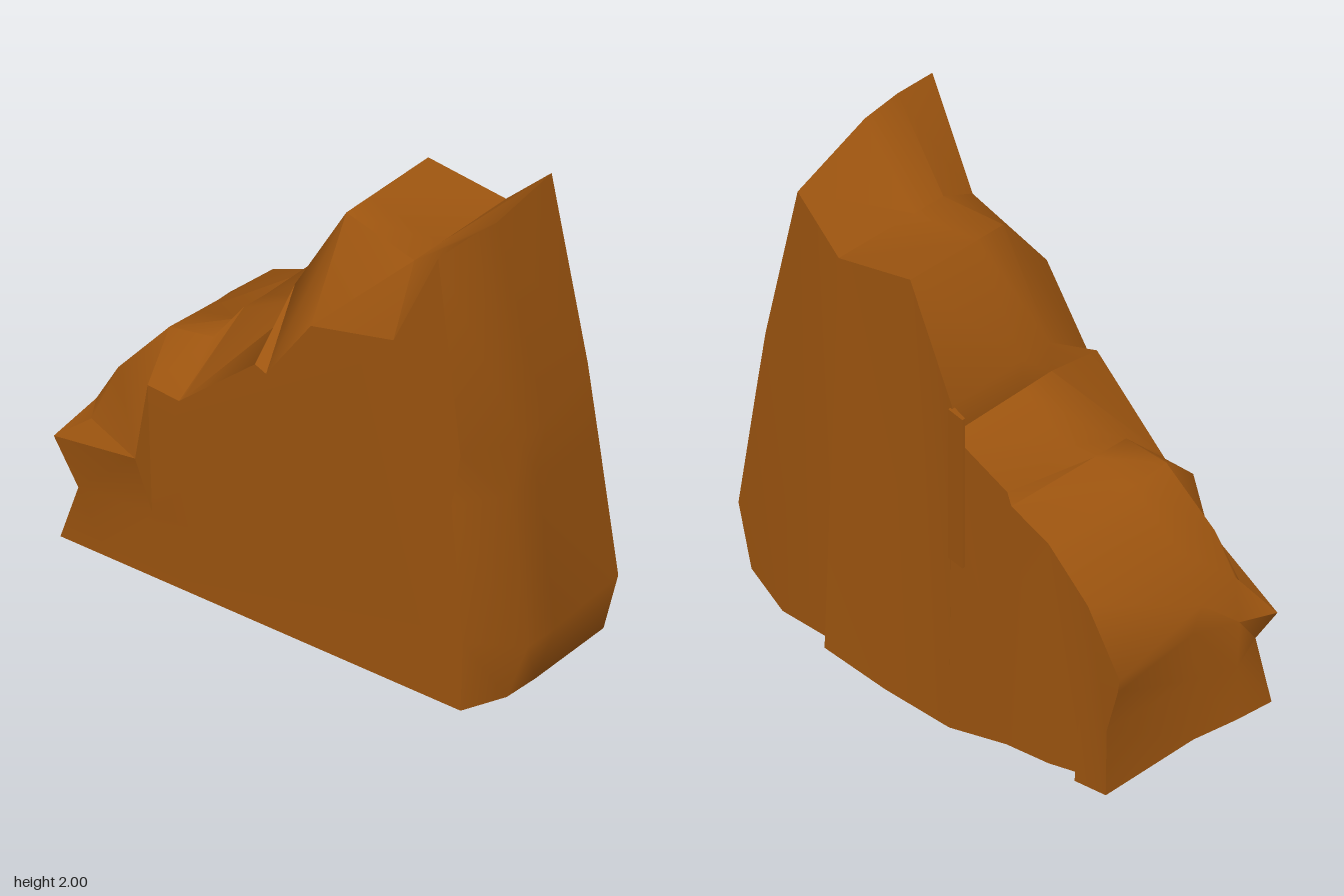
import * as THREE from 'three';
import { toCreasedNormals } from 'three/addons/utils/BufferGeometryUtils.js';

// Matching outline points, clockwise from the lower left: front, shoulder, back.
const F = 0.36;
const front = [
  [-0.96, 0.165, F], [-0.88, 0.4, F], [-0.99, 0.57, F], [-0.87, 0.66, 0.3], [-0.57, 0.68, 0.43],
  [-0.57, 0.95, F], [-0.43, 0.94, F], [-0.41, 0.957, F], [-0.09, 1.23, F], [-0.04, 1.21, F],
  [0.16, 1.49, F], [0.53, 1.58, F], [0.73, 2, F], [0.83, 1.22, F], [0.79, 1, F], [0.84, 0.45, F],
  [0.83, 0.165, F],
];
const shoulder = [
  [-0.95, 0.165, 0.2], [-0.955, 0.4, 0.2], [-0.965, 0.6, 0.2], [-0.88, 0.72, 0.26], [-0.79, 0.88, 0.25],
  [-0.6, 1.1, 0.2], [-0.42, 1.12, 0.18], [-0.38, 1.2, 0.06], [-0.13, 1.3, 0.1], [-0.12, 1.42, 0.1],
  [0.11, 1.81, 0.1], [0.43, 1.75, 0.12], [0.73, 2, 0.19], [0.93, 1.22, 0.15], [0.89, 0.98, 0.15],
  [0.985, 0.4, 0.18], [0.9, 0.165, 0.19],
];
const back = [
  [-0.89, 0.11, -0.38], [-0.9, 0.4, -0.385], [-0.96, 0.6, -0.39], [-0.97, 0.66, -0.39], [-0.79, 0.88, -0.37],
  [-0.6, 1.05, -0.375], [-0.42, 1.12, -0.38], [-0.4, 1.17, -0.38], [-0.13, 1.28, -0.385], [-0.13, 1.4, -0.385],
  [0.11, 1.81, -0.355], [0.43, 1.75, -0.39], [0.63, 1.935, -0.395], [0.8, 1.22, -0.385], [0.85, 0.95, -0.38],
  [0.94, 0.4, -0.38], [0.87, 0.15, -0.385],
];
// The underside, right to left, is level in front and sinks toward the back.
// Close pairs of points make the upright steps in the back face.
const under = [
  [0.7, 0.065, -0.4], [0.465, 0.055, -0.385], [0.455, 0.055, -0.435], [0.18, 0.01, -0.41],
  [-0.13, 0.005, -0.4], [-0.4, 0.07, -0.385], [-0.6, 0.09, -0.375],
  [-0.73, 0.1, -0.345], [-0.745, 0.1, -0.39],
];
for (const p of under) {
  front.push([p[0], 0.165, F]);
  shoulder.push([p[0], 0.165, 0.19]);
  back.push(p);
}
// Middle ring, pinched in on the left side
const mix = (a, b, t) => a + (b - a) * t;
const middle = shoulder.map(([x, y, z], i) => [
  i < 4 ? -0.9 : mix(x, back[i][0], 0.05),
  mix(y, back[i][1], i > 16 || i === 0 ? 0.5 : 0.3),
  mix(z, back[i][2], 0.28),
]);

// Collects polygons as triangle fans and returns a geometry
function fromPolygons(polygons, creaseAngle) {
  const pos = [];
  for (const p of polygons) {
    for (let k = 1; k < p.length - 1; k++) pos.push(...p[0], ...p[k], ...p[k + 1]);
  }
  const g = new THREE.BufferGeometry();
  g.setAttribute('position', new THREE.Float32BufferAttribute(pos, 3));
  return toCreasedNormals(g, creaseAngle);
}

// Outer skin lofted from front to back
function skinGeometry() {
  const rings = [front, shoulder, middle, back];
  const quads = [];
  for (let r = 0; r < 3; r++) {
    const a = rings[r], b = rings[r + 1];
    a.forEach((p, i) => {
      const j = (i + 1) % a.length;
      quads.push([p, a[j], b[j], b[i]]);
    });
  }
  return fromPolygons(quads, 0.9);
}

// Flat front face with a bulge at the left, fanned around its foremost point
function frontGeometry() {
  const foot = [-0.55, 0.43, F];
  const flat = [front[0], front[1], foot, ...front.slice(5)].reverse();
  const faces = THREE.ShapeUtils.triangulateShape(flat.map((p) => new THREE.Vector2(p[0], p[1])), []);
  const bulge = [front[4], front[3], front[2], front[1], foot, front[5]];
  return fromPolygons([...faces.map((f) => f.map((i) => flat[i])), bulge], 0.6);
}

// Back face in upright facets
function backGeometry() {
  const facets = [
    [1, 2, 3, 4], [0, 1, 4, 25], [25, 4, 24], [24, 4, 5, 23], [23, 5, 6, 22], [22, 6, 7], [22, 7, 8, 21],
    [21, 8, 9], [21, 9, 10, 20], [20, 10, 11, 19], [19, 11, 18], [18, 11, 12, 17],
    [12, 13, 14], [17, 12, 14], [17, 14, 15, 16],
  ];
  return fromPolygons(facets.map((f) => f.map((i) => back[i])), 0.4);
}

export function createModel() {
  const group = new THREE.Group();
  group.name = 'rock';
  const stone = new THREE.MeshStandardMaterial({ color: 0x9c540f });
  stone.name = 'brown stone';
  const add = (name, geometry) => {
    const mesh = new THREE.Mesh(geometry, stone);
    mesh.name = name;
    group.add(mesh);
    return mesh;
  };

  add('rockSides', skinGeometry());
  add('rockFront', frontGeometry());
  add('rockBack', backGeometry());

  // Thin upright flake on the back
  const plan = new THREE.Shape([[-0.2, 0.404], [-0.2, 0.39], [-0.12, 0.37], [-0.12, 0.395]]
    .map(([x, y]) => new THREE.Vector2(x, y)));
  const flakeGeometry = new THREE.ExtrudeGeometry(plan, { depth: 0.65, bevelEnabled: false });
  flakeGeometry.rotateX(-Math.PI / 2);
  add('backFlake', flakeGeometry).position.y = 0.74;

  // Small chip under the back edge
  add('bottomChip', new THREE.BoxGeometry(0.12, 0.06, 0.1)).position.set(-0.07, 0.03, -0.33);

  return group;
}
